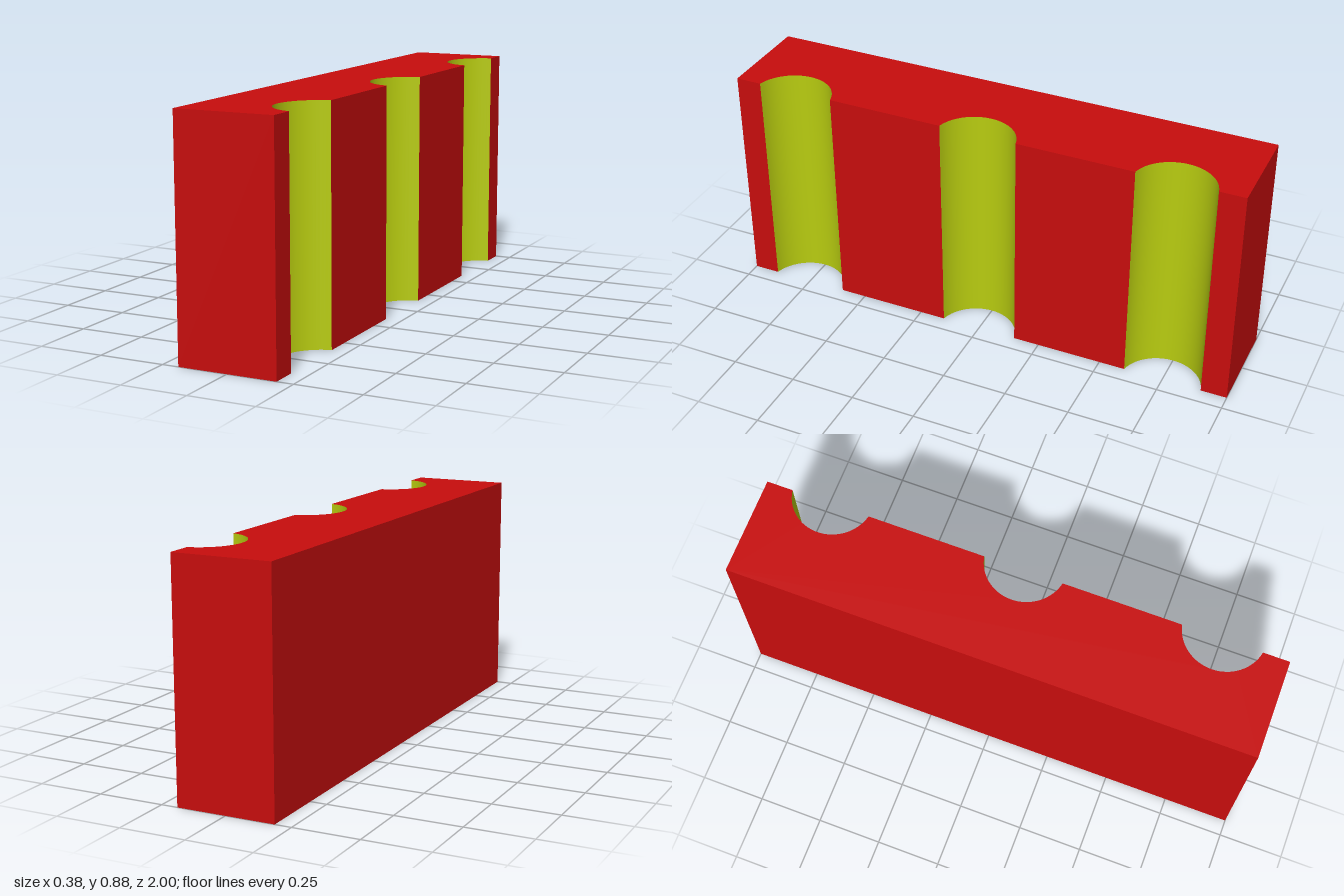
import * as THREE from 'three';
import { mergeGeometries } from 'three/addons/utils/BufferGeometryUtils.js';

const HALF_W = 0.1875, HEIGHT = 0.875, HALF_L = 1;
const GROOVE_R = 0.153, GROOVE_X = 0.2175, GROOVE_CENTRES = [-0.75, 0, 0.75];

// Plan points are (x, -z), running counter-clockwise seen from above.
const p = (x, y) => new THREE.Vector2(x, y);

// Arc of one groove cut into the +x side.
function grooveArc(centre, segments = 32) {
  const half = Math.acos((GROOVE_X - HALF_W) / GROOVE_R);
  return Array.from({ length: segments + 1 }, (_, i) => {
    const t = -half + (2 * half * i) / segments;
    return p(GROOVE_X - GROOVE_R * Math.cos(t), centre + GROOVE_R * Math.sin(t));
  });
}

// Upright wall following plan points, facing outward.
function wall(points) {
  const n = points.length;
  const geo = new THREE.PlaneGeometry(1, HEIGHT, n - 1, 1);
  const pos = geo.attributes.position;
  for (let i = 0; i < pos.count; i++) {
    const q = points[i % n];
    pos.setXYZ(i, q.x, i < n ? HEIGHT : 0, -q.y);
  }
  geo.computeVertexNormals();
  return geo;
}

export function createModel() {
  const group = new THREE.Group();
  group.name = 'groovedBlock';
  const red = new THREE.MeshStandardMaterial({ color: 0xc80d0d });
  const yellow = new THREE.MeshStandardMaterial({ color: 0xb8cc10 });

  const arcs = GROOVE_CENTRES.map((c) => grooveArc(c));
  const corners = [p(HALF_W, HALF_L), p(-HALF_W, HALF_L), p(-HALF_W, -HALF_L), p(HALF_W, -HALF_L)];

  // Top and bottom faces share the notched plan.
  const plan = new THREE.Shape([...corners, ...arcs.flat()]);
  const top = new THREE.ShapeGeometry(plan).rotateX(-Math.PI / 2).translate(0, HEIGHT, 0);
  const bottom = new THREE.ShapeGeometry(plan).rotateX(Math.PI / 2);

  // Flat walls: back end, plain side, front end, then the strips between grooves.
  const walls = [0, 1, 2].map((i) => wall([corners[i], corners[i + 1]]));
  let from = corners[3];
  for (const arc of arcs) {
    walls.push(wall([from, arc[0]]));
    from = arc[arc.length - 1];
  }
  walls.push(wall([from, corners[0]]));

  const block = new THREE.Mesh(mergeGeometries([top, bottom, ...walls]), red);
  block.name = 'block';
  group.add(block);

  // Coloured groove linings.
  arcs.forEach((arc, i) => {
    const groove = new THREE.Mesh(wall(arc), yellow);
    groove.name = `groove${i + 1}`;
    group.add(groove);
  });
  return group;
}
